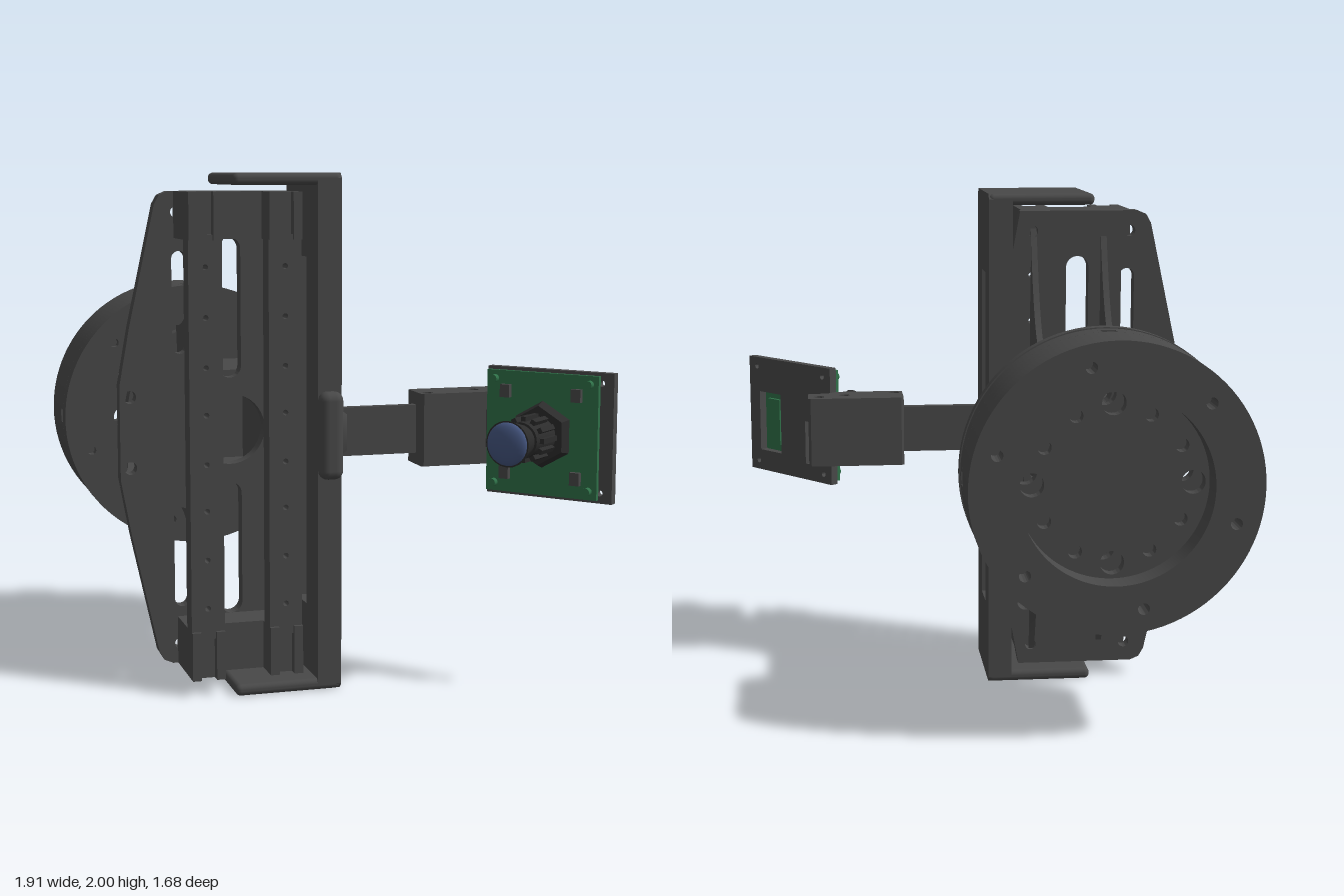
import * as THREE from 'three';
import { RoundedBoxGeometry } from 'three/addons/geometries/RoundedBoxGeometry.js';
import { toCreasedNormals } from 'three/addons/utils/BufferGeometryUtils.js';

const mat = (color) => new THREE.MeshStandardMaterial({ color });
const dark = mat(0x484848), black = mat(0x2c2c2c), green = mat(0x2f7048), blue = mat(0x44557f);

export function createModel() {
  const root = new THREE.Group();

  const add = (name, geo, parent = root, m = dark) => {
    const mesh = new THREE.Mesh(geo, m);
    mesh.name = name;
    parent.add(mesh);
    return mesh;
  };
  // Box given by its low and high limits
  const box = (name, x0, x1, y0, y1, z0, z1, parent = root, m = dark, r = 0) => {
    const s = [x1 - x0, y1 - y0, z1 - z0];
    const geo = r ? new RoundedBoxGeometry(...s, 3, r) : new THREE.BoxGeometry(...s);
    geo.translate((x0 + x1) / 2, (y0 + y1) / 2, (z0 + z1) / 2);
    return add(name, geo, parent, m);
  };
  const poly = (pts) => new THREE.Shape(pts.map(([x, y]) => new THREE.Vector2(x, y)));
  const circle = (x, y, r) => new THREE.Shape().absarc(x, y, r, 0, Math.PI * 2);
  const rect = (x0, x1, y0, y1) => poly([[x0, y0], [x1, y0], [x1, y1], [x0, y1]]);
  const slot = (x0, x1, y0, y1) => {
    const r = (x1 - x0) / 2, c = (x0 + x1) / 2;
    return new THREE.Shape().absarc(c, y1 - r, r, 0, Math.PI).absarc(c, y0 + r, r, Math.PI, Math.PI * 2).closePath();
  };
  const extrude = (shape, depth, holes = [], seg = 20) => {
    shape.holes.push(...holes);
    const geo = new THREE.ExtrudeGeometry(shape, { depth, bevelEnabled: false, curveSegments: seg });
    return toCreasedNormals(geo, 0.6);
  };
  const alongZ = (shape, z0, z1, holes, seg) => extrude(shape, z1 - z0, holes, seg).translate(0, 0, z0);
  // Shape in (z, y), thickness along x
  const alongX = (shape, x0, x1, holes) => extrude(shape, x1 - x0, holes).rotateY(-Math.PI / 2).translate(x1, 0, 0);
  // Shape in (x, z), thickness along y
  const alongY = (shape, y0, y1, holes) => extrude(shape, y1 - y0, holes).rotateX(Math.PI / 2).translate(0, y1, 0);
  const ringOfHoles = (n, radius, r, start = 0) => Array.from({ length: n }, (_, i) => {
    const a = start + i * Math.PI * 2 / n;
    return circle(radius * Math.cos(a), radius * Math.sin(a), r);
  });

  // Mounting drum: hollow, with a recessed rear face and a front flange
  const drum = new THREE.Group();
  drum.name = 'mountingDrum';
  drum.position.set(-0.41, 0.985, 0);
  root.add(drum);
  const R = 0.545, recess = 0.36;
  const through = () => ringOfHoles(4, 0.3, 0.045);
  add('drumRearRing', alongZ(circle(0, 0, R), -0.84, -0.73, [circle(0, 0, recess), ...ringOfHoles(6, 0.46, 0.022, 0.3)], 48), drum);
  add('drumRearFace', alongZ(circle(0, 0, R), -0.73, -0.68,
    [...through(), ...ringOfHoles(4, 0.29, 0.026, 0.5), ...ringOfHoles(4, 0.29, 0.026, 1.07)], 48), drum);
  add('drumWall', alongZ(circle(0, 0, R), -0.68, -0.61, [circle(0, 0, 0.44)], 48), drum);
  add('drumWall', alongZ(circle(0, 0, R), -0.56, -0.52, [circle(0, 0, 0.44)], 48), drum);
  for (let i = 0; i < 4; i++) {
    const a0 = i * Math.PI / 2 + 0.05, a1 = (i + 1) * Math.PI / 2 - 0.05;
    const arc = new THREE.Shape().absarc(0, 0, R, a0, a1).absarc(0, 0, 0.44, a1, a0, true).closePath();
    add('drumWallWithRadialHoles', alongZ(arc, -0.61, -0.56, [], 24), drum);
  }
  add('drumGroove', alongZ(circle(0, 0, R - 0.012), -0.52, -0.51, through(), 48), drum);
  add('drumFlange', alongZ(circle(0, 0, R + 0.003), -0.51, -0.465, [...through(), ...ringOfHoles(6, 0.46, 0.018, 0.3)], 48), drum);
  const adapter = add('adapterDisc', alongZ(circle(0, 0, 0.375), -0.47, -0.4, ringOfHoles(4, 0.3, 0.045), 32), drum);
  adapter.scale.x = 0.8;

  // Base plate with tapered outline, slots and screw holes
  const outline = poly([[-0.62, 0.06], [-0.15, 0.06], [-0.115, 0.25], [-0.115, 1.74], [-0.15, 1.93], [-0.62, 1.93],
    [-0.655, 1.915], [-0.675, 1.88], [-0.78, 1.4], [-0.82, 1.18], [-0.82, 0.81], [-0.78, 0.59], [-0.675, 0.11], [-0.655, 0.075]]);
  const plateHoles = [circle(-0.78, 1.135, 0.025), circle(-0.78, 0.855, 0.025), circle(-0.38, 0.995, 0.14)];
  for (const [y0, y1] of [[1.2, 1.75], [0.25, 0.78]]) plateHoles.push(slot(-0.425, -0.335, y0, y1));
  for (const [y0, y1] of [[1.3, 1.7], [0.29, 0.69]]) {
    plateHoles.push(slot(-0.61, -0.55, y0, y1), slot(-0.21, -0.145, y0, y1));
  }
  for (const y of [0.14, 1.85]) plateHoles.push(circle(-0.59, y, 0.022), circle(-0.2, y, 0.022));
  add('basePlate', alongZ(outline, 0, 0.06, plateHoles));

  // Curved ribs between the plate and the drum
  for (const x of [-0.485, -0.205]) {
    const rib = new THREE.Shape().moveTo(0.01, 0.12);
    rib.bezierCurveTo(-0.1, 0.48, -0.2, 0.61, -0.41, 0.62);
    rib.lineTo(-0.41, 1.37);
    rib.bezierCurveTo(-0.2, 1.38, -0.1, 1.5, 0.01, 1.86);
    add('verticalRib', alongX(rib, x - 0.012, x + 0.012));
  }
  for (const y of [0.79, 1.21]) {
    const rib = new THREE.Shape().moveTo(-0.815, 0.01);
    rib.quadraticCurveTo(-0.74, -0.18, -0.71, -0.41);
    rib.lineTo(-0.195, -0.41);
    rib.lineTo(-0.195, 0.01);
    add('horizontalRib', alongY(rib, y - 0.015, y + 0.015));
  }

  // Twin guide rails carried on end blocks
  for (const [x0, x1] of [[-0.6, -0.47], [-0.29, -0.16]]) {
    const xc = (x0 + x1) / 2;
    add('guideRail', alongZ(rect(x0, x1, 0.22, 1.77), 0.24, 0.325,
      [0.34, 0.53, 0.72, 0.9, 1.09, 1.27, 1.46, 1.65].map((y) => circle(xc, y, 0.011)), 8));
    for (const [y0, y1] of [[0.06, 0.25], [1.75, 1.93]]) {
      box('railEndBlock', x0, x1, y0, y1, 0.05, 0.3);
      box('railEndTab', x0, x0 + 0.035, y0, y1, 0.3, 0.34);
      box('railEndTab', x1 - 0.035, x1, y0, y1, 0.3, 0.34);
    }
  }
  for (const [y0, y1] of [[0.06, 0.25], [1.75, 1.93]]) box('railCrossBlock', -0.475, -0.285, y0, y1, 0.05, 0.22);

  // C-shaped side cover with window
  const wall = poly([[-0.055, 0.02], [-0.035, 0], [0.37, 0], [0.39, 0.02], [0.39, 1.98], [0.37, 2], [-0.035, 2], [-0.055, 1.98]]);
  add('coverWall', alongX(wall, -0.115, -0.02, [rect(0.08, 0.23, 0.31, 1.68)]));
  for (const y of [0, 1.955]) box('coverFlange', -0.44, -0.02, y, y + 0.045, -0.055, 0.39, root, dark, 0.02);
  add('sideWeb', alongX(rect(-0.465, -0.05, 0.785, 1.225), -0.11, -0.025,
    [0.87, 1.13].map((y) => circle(-0.2, y, 0.012))));

  // Camera arm: boss on the cover, bar and clamp block
  box('armBoss', -0.115, -0.02, 0.835, 1.175, 0.36, 0.44, root, dark, 0.035);
  add('armCollar', new THREE.CylinderGeometry(0.1, 0.14, 0.04, 4, 1).rotateY(Math.PI / 4).rotateZ(-Math.PI / 2)
    .scale(1, 1, 0.4).translate(-0.003, 1.005, 0.31));
  box('armBar', -0.03, 0.31, 0.91, 1.1, 0.29, 0.325);
  const clamp = poly([[0.305, 0.235], [0.315, 0.225], [0.69, 0.225], [0.7, 0.235], [0.7, 0.34], [0.69, 0.35],
    [0.62, 0.35], [0.58, 0.39], [0.315, 0.39], [0.305, 0.38]]);
  add('clampBlock', alongY(clamp, 0.865, 1.15, [circle(0.34, 0.355, 0.022), circle(0.655, 0.27, 0.022), circle(0.55, 0.305, 0.022)]));
  const lug = poly([[0.54, 0.35], [0.58, 0.3], [0.67, 0.43], [0.63, 0.46]]);
  add('hingeLug', alongY(lug, 0.93, 1.08));

  // Tilted camera module: local +z is the viewing direction
  const cam = new THREE.Group();
  cam.name = 'cameraModule';
  cam.position.set(0.767, 1.003, 0.577);
  cam.rotation.y = -0.86;
  root.add(cam);
  const corners = [[-1, -1], [1, -1], [1, 1], [-1, 1]];
  add('cameraBackPlate', alongZ(rect(-0.265, 0.265, -0.25, 0.25), -0.018, 0.016,
    [rect(0.06, 0.2, -0.16, 0.1), rect(-0.19, -0.1, -0.18, 0.005), ...corners.map(([x, y]) => circle(x * 0.215, y * 0.21, 0.012))]), cam);
  add('circuitBoard', alongZ(rect(-0.26, 0.21, -0.238, 0.238), 0.016, 0.034), cam, green);
  box('backChip', 0.09, 0.17, -0.13, 0.07, 0.0, 0.02, cam, green);
  box('backPlug', -0.215, -0.185, 0.05, 0.13, -0.025, 0, cam, mat(0x999999));
  for (const [x, y] of corners) {
    add('boardStandoff', new THREE.CylinderGeometry(0.016, 0.016, 0.025, 12).rotateX(Math.PI / 2)
      .translate(-0.025 + x * 0.2, y * 0.205, 0.045), cam, green);
    box('boardPart', x * 0.15 - 0.045, x * 0.15 - 0.005, y * 0.16 - 0.025, y * 0.16 + 0.025, 0.034, 0.055, cam);
  }

  // Lens: hexagonal holder, ribbed barrel, flared hood and glass
  const lens = new THREE.Group();
  lens.name = 'lens';
  lens.position.x = -0.02;
  cam.add(lens);
  add('lensHolder', toCreasedNormals(new THREE.CylinderGeometry(0.115, 0.13, 0.04, 6), 0.5)
    .rotateX(Math.PI / 2).translate(0, 0, 0.054), lens, black);
  add('lensBarrel', toCreasedNormals(new THREE.CylinderGeometry(0.07, 0.075, 0.16, 24), 0.6)
    .rotateX(Math.PI / 2).translate(0, 0, 0.145), lens, black);
  for (let i = 0; i < 12; i++) {
    const rib = box('barrelRib', 0.065, 0.088, -0.01, 0.01, 0.09, 0.2, lens, black);
    rib.rotation.z = i * Math.PI / 6;
  }
  add('lensHood', toCreasedNormals(new THREE.CylinderGeometry(0.088, 0.06, 0.11, 20), 0.6)
    .rotateX(Math.PI / 2).translate(0, 0, 0.275), lens, black);
  add('lensGlass', new THREE.SphereGeometry(0.082, 24, 8, 0, Math.PI * 2, 0, Math.PI / 2)
    .rotateX(Math.PI / 2).scale(1, 1, 0.35).translate(0, 0, 0.33), lens, blue);

  return root;
}
